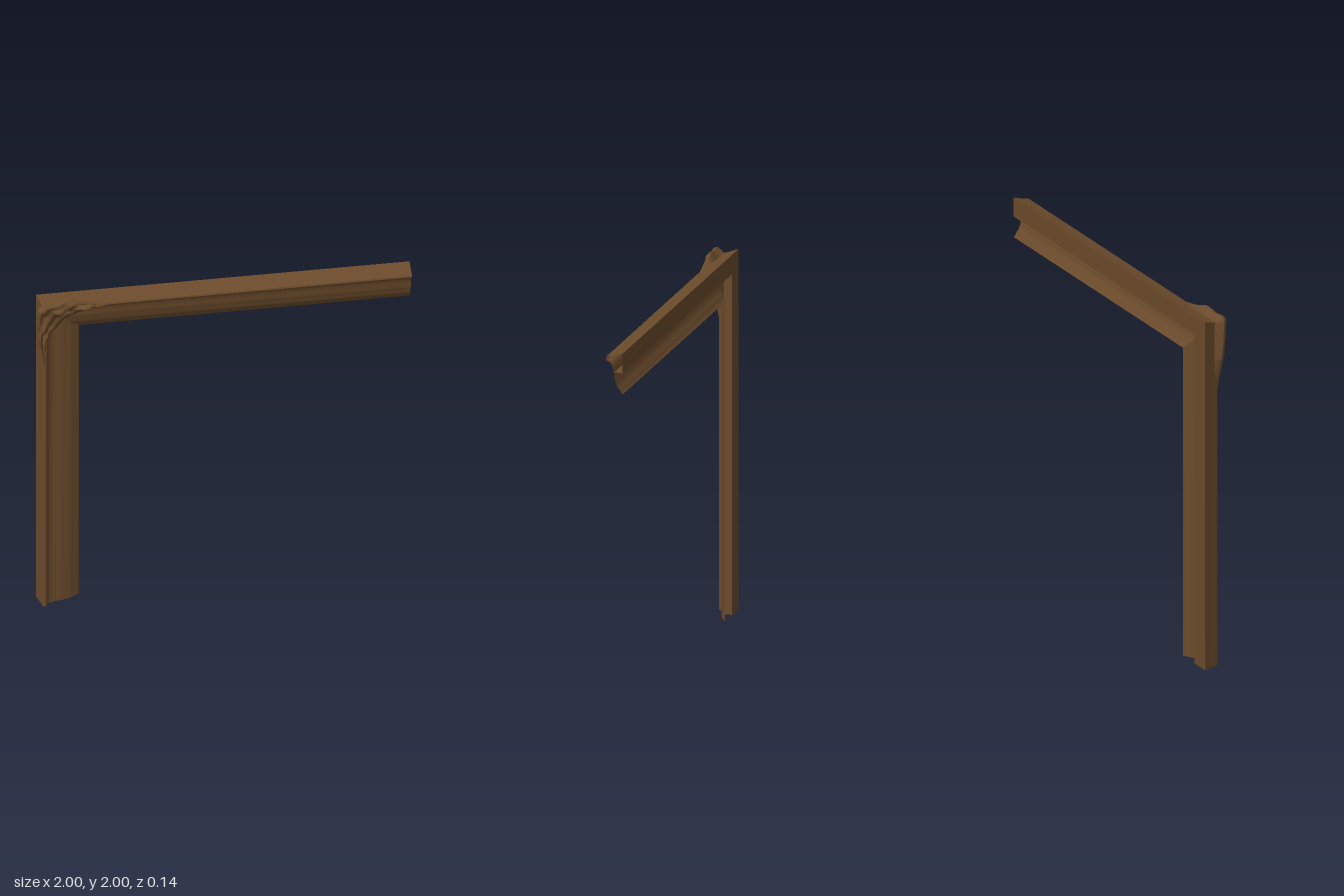
import * as THREE from 'three';
import { toCreasedNormals } from 'three/addons/utils/BufferGeometryUtils.js';

const LEFT = -0.985, TOP = 1.978;

// Moulding section: [distance in from the outer edge, z], from the rabbet round to the inner lip
const SECTION = [
  [0.11, -0.027], [0.11, -0.075], [0, -0.075], [0.007, -0.05], [0.018, -0.02], [0.022, 0.005],
  [0.027, 0.018], [0.036, 0.02], [0.045, 0.015], [0.052, -0.002], [0.064, -0.013], [0.085, -0.02],
  [0.11, -0.025], [0.135, -0.027], [0.145, -0.032], [0.17, -0.037], [0.19, -0.046], [0.207, -0.06],
  [0.218, -0.064], [0.23, -0.075],
];
const FRONT = SECTION.slice(5);

// Surface through rows of points
function loft(rows, crease) {
  const n = rows[0].length, index = [];
  for (let i = 0; i < rows.length - 1; i++) {
    for (let j = 0; j < n - 1; j++) {
      const a = i * n + j, b = a + n;
      index.push(a, b + 1, b, a, a + 1, b + 1);
    }
  }
  const geo = new THREE.BufferGeometry();
  geo.setAttribute('position', new THREE.Float32BufferAttribute(rows.flat(2), 3));
  geo.setIndex(index);
  return toCreasedNormals(geo, crease);
}

// Front depth of the moulding at a given place
function mouldingZ(x, y) {
  const d = Math.min(x - LEFT, TOP - y);
  for (let i = 1; i < FRONT.length; i++) {
    const [d0, z0] = FRONT[i - 1], [d1, z1] = FRONT[i];
    if (d <= d1) return z0 + (z1 - z0) * Math.max(0, (d - d0) / (d1 - d0));
  }
  return -0.075;
}

const curve = (pts) => new THREE.CatmullRomCurve3(pts.map(([x, y]) => new THREE.Vector3(x, y, 0)));

// Carved leaf: two edge curves running from the leg tip, round the corner, to the rail tip
function cornerLeaf() {
  const outer = curve([[-0.955, 1.58], [-0.972, 1.68], [-0.993, 1.78], [-0.997, 1.87], [-0.983, 1.978],
    [-0.9, 1.985], [-0.83, 1.998], [-0.74, 1.97], [-0.6, 1.945]]);
  const inner = curve([[-0.945, 1.58], [-0.935, 1.68], [-0.92, 1.75], [-0.88, 1.79], [-0.84, 1.835],
    [-0.8, 1.86], [-0.74, 1.885], [-0.67, 1.92], [-0.6, 1.935]]);
  const rows = [], NS = 72, NT = 26;
  for (let i = 0; i <= NS; i++) {
    const u = i / NS, s = 2 * u - 1, fade = 1 - Math.abs(s);
    const o = outer.getPoint(u), p = inner.getPoint(u);
    const crest = 0.02 + 0.046 * Math.pow(fade, 0.8);
    // underside tucks back against the outer wall
    const row = [[Math.max(o.x, -0.962), Math.min(o.y, 1.955), -0.006]];
    row.push([o.x, o.y, crest * 0.55]);
    for (let j = 1; j <= NT; j++) {
      const t = j / NT;
      const x = o.x + (p.x - o.x) * t, y = o.y + (p.y - o.y) * t;
      const base = mouldingZ(x, y) - 0.002;
      const body = Math.pow(1 - t, 0.75) * Math.min(1, 0.75 + t * 2);
      const folds = 0.011 * Math.sin(15 * t + 9 * Math.abs(s)) + 0.006 * Math.sin(24 * s + 8 * t);
      const z = base + (crest - base) * body + folds * Math.sin(Math.PI * t) * Math.min(1, fade * 2.5);
      row.push([x, y, Math.min(0.075, z)]);
    }
    rows.push(row);
  }
  return loft(rows, 0.9);
}

export function createModel() {
  const group = new THREE.Group();
  const wood = new THREE.MeshStandardMaterial({ color: 0x6b4b2b, side: THREE.DoubleSide });
  wood.name = 'brown wood';
  const add = (name, geo) => {
    const mesh = new THREE.Mesh(geo, wood);
    mesh.name = name;
    group.add(mesh);
  };

  // Leg and rail meet at a mitre
  const foot = SECTION.map(([d, z]) => [LEFT + d, 0, z]);
  const mitre = SECTION.map(([d, z]) => [LEFT + d, TOP - d * 0.975, z]);
  const end = SECTION.map(([d, z]) => [1, TOP - d * 0.975, z]);
  add('frameLeg', loft([foot, mitre], 0.55));
  add('frameRail', loft([mitre, end], 0.55));
  add('cornerOrnament', cornerLeaf());
  return group;
}
